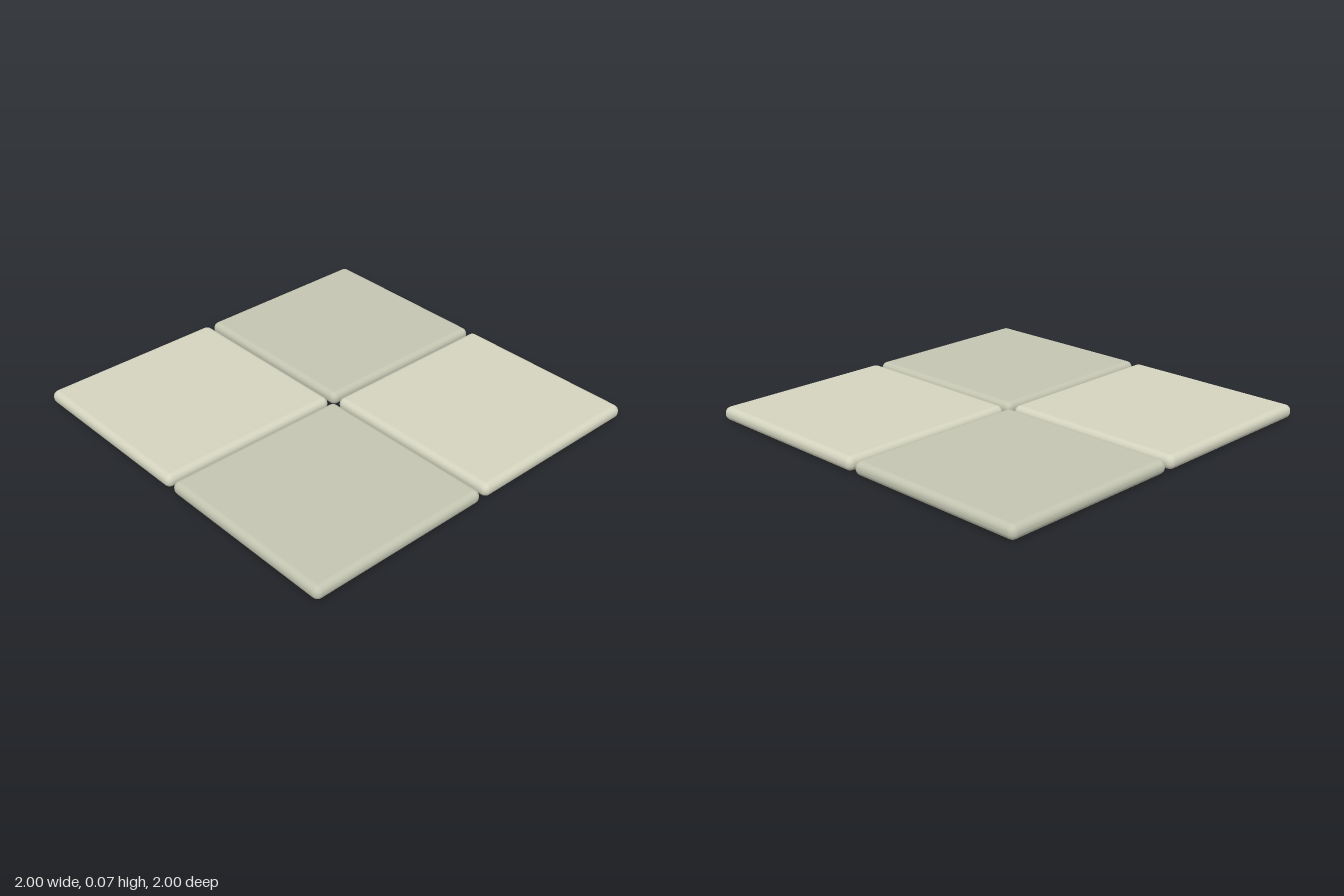
import * as THREE from 'three';
import { RoundedBoxGeometry } from 'three/addons/geometries/RoundedBoxGeometry.js';

const GAP = 0.024; // joint between tiles
const SIZE = (2 - GAP) / 2;
const THICKNESS = 0.07;

export function createModel() {
  const group = new THREE.Group();
  group.name = 'floorTiles';

  const light = new THREE.MeshStandardMaterial({ color: 0xd4d4c0 });
  const dark = new THREE.MeshStandardMaterial({ color: 0xc4c6b2 });

  // One slab with rounded edges, shared by all four tiles
  const slab = new RoundedBoxGeometry(SIZE, THICKNESS, SIZE, 4, 0.033);
  const offset = (SIZE + GAP) / 2;

  // Two by two checkerboard
  for (const sx of [-1, 1]) {
    for (const sz of [-1, 1]) {
      const isLight = sx === sz;
      const tile = new THREE.Mesh(slab, isLight ? light : dark);
      tile.name = `${isLight ? 'light' : 'dark'}Tile${sz > 0 ? 'Front' : 'Back'}${sx > 0 ? 'Left' : 'Right'}`;
      tile.position.set(sx * offset, THICKNESS / 2, sz * offset);
      group.add(tile);
    }
  }
  return group;
}
